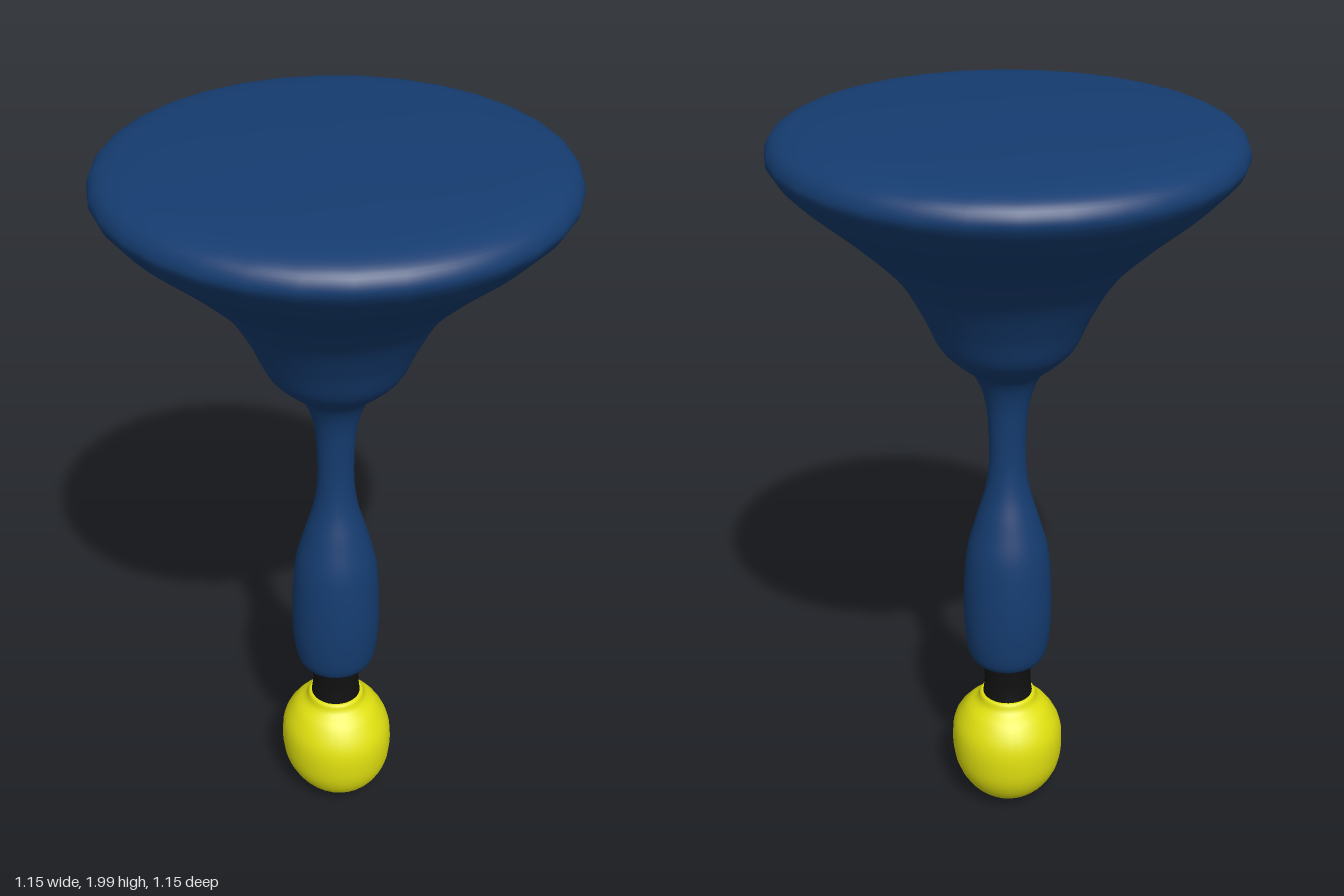
import * as THREE from 'three';

const SEGMENTS = 32;

// Smooth curve through [radius, y] points, listed from bottom to top
function smoothProfile(points, samples) {
  const curve = new THREE.SplineCurve(points.map(([r, y]) => new THREE.Vector2(r, y)));
  return curve.getPoints(samples).map((p) => new THREE.Vector2(Math.max(p.x, 0), p.y));
}

function turned(name, profile, color) {
  const mesh = new THREE.Mesh(
    new THREE.LatheGeometry(profile, SEGMENTS),
    new THREE.MeshStandardMaterial({ color, side: THREE.DoubleSide })
  );
  mesh.name = name;
  return mesh;
}

export function createModel() {
  const group = new THREE.Group();
  group.name = 'flaredHandle';

  // Handle: swollen grip, thin stem, cup and wide flared disc
  const handle = smoothProfile([
    [0, 0.46], [0.065, 0.46], [0.1, 0.478], [0.115, 0.54], [0.12, 0.65], [0.111, 0.8],
    [0.085, 0.905], [0.058, 1.0], [0.048, 1.1], [0.056, 1.24], [0.085, 1.325],
    [0.13, 1.367], [0.175, 1.415], [0.217, 1.505], [0.28, 1.61], [0.385, 1.715],
    [0.5, 1.815], [0.565, 1.885], [0.573, 1.925], [0.54, 1.96], [0.45, 1.98],
    [0.22, 1.994], [0, 2.0],
  ], 110);
  group.add(turned('handleAndFlaredTop', handle, 0x153c70));

  // Dark collar joining handle and knob, slightly waisted
  const collar = smoothProfile([[0.072, 0.33], [0.066, 0.37], [0.064, 0.41], [0.069, 0.47]], 10);
  group.add(turned('collar', collar, 0x111111));

  // Egg-shaped knob with a short neck
  const knobProfile = smoothProfile([
    [0, 0.006], [0.06, 0.018], [0.112, 0.06], [0.144, 0.12], [0.153, 0.19],
    [0.146, 0.25], [0.118, 0.3], [0.086, 0.328], [0.076, 0.35], [0.062, 0.352],
  ], 40);
  const knob = turned('knob', knobProfile, 0xe0e010);
  // The knob bulges more toward the front
  const pos = knob.geometry.attributes.position;
  for (let i = 0; i < pos.count; i++) {
    const z = pos.getZ(i);
    const bulge = 1 - THREE.MathUtils.smoothstep(pos.getY(i), 0.24, 0.34);
    pos.setZ(i, z * (1 + (z > 0 ? 0.13 : 0.04) * bulge));
  }
  knob.geometry.computeBoundingSphere();
  group.add(knob);

  return group;
}
